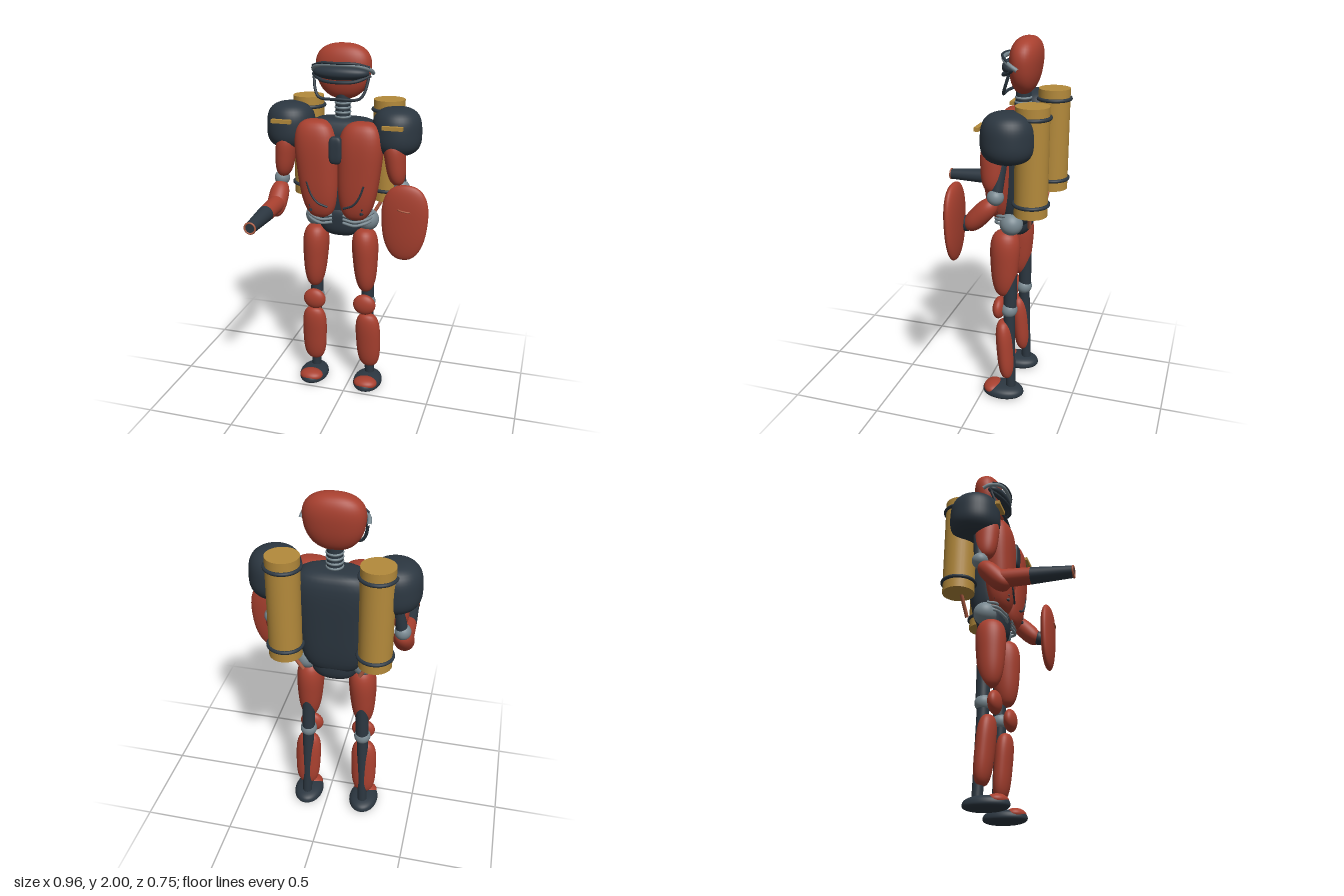
import * as THREE from 'three';
import { mergeVertices } from 'three/addons/utils/BufferGeometryUtils.js';

const mat = (name, color) => {
  const m = new THREE.MeshStandardMaterial({ color });
  m.name = name;
  return m;
};
const V = (x, y, z) => new THREE.Vector3(x, y, z);

export function createModel() {
  const red = mat('armourRed', 0xa8402f);
  const dark = mat('darkSlate', 0x2c3741);
  const grey = mat('jointGrey', 0x788890);
  const gold = mat('tankGold', 0xb48a3b);
  const copper = mat('copper', 0xad5c42);

  const model = new THREE.Group();
  model.name = 'armouredRobot';
  const body = new THREE.Group(); // symmetric about its own x = 0
  body.name = 'body';
  body.position.x = -0.05;
  model.add(body);

  function add(name, geo, material, parent = body) {
    const m = new THREE.Mesh(geo, material);
    m.name = name;
    parent.add(m);
    return m;
  }

  // Rounded form: n squares the profile, m squares the plan; taper and shifts run along y
  function blob(name, material, c, r, o = {}, parent = body) {
    const { n = 2, m = 2, taper = 0, dx = 0, dz = 0, floor = -2 } = o;
    let g = new THREE.SphereGeometry(1, 40, 28);
    g.deleteAttribute('uv');
    g.deleteAttribute('normal');
    g = mergeVertices(g, 1e-5);
    const p = g.attributes.position;
    for (let i = 0; i < p.count; i++) {
      const x = p.getX(i), y = p.getY(i), z = p.getZ(i), q = Math.hypot(x, z);
      const k = Math.pow(Math.pow(Math.abs(y), n) + Math.pow(q, n), -1 / n);
      const plan = q < 1e-5 ? 1 : q * Math.pow(Math.pow(Math.abs(x), m) + Math.pow(Math.abs(z), m), -1 / m);
      const t = y * k, s = k * plan * (1 + taper * t);
      p.setXYZ(i, x * s * r[0] + dx * t, Math.max(t, floor) * r[1], z * s * r[2] + dz * t);
    }
    g.computeVertexNormals();
    const mesh = add(name, g, material, parent);
    mesh.position.set(...c);
    return mesh;
  }

  // Straight tapered rod from a to b
  function rod(name, material, a, b, ra, rb = ra, parent = body) {
    const A = V(...a), B = V(...b), d = B.clone().sub(A);
    const mesh = add(name, new THREE.CylinderGeometry(rb, ra, d.length(), 32), material, parent);
    mesh.position.copy(A).addScaledVector(d, 0.5);
    mesh.quaternion.setFromUnitVectors(V(0, 1, 0), d.normalize());
    return mesh;
  }

  const tube = (name, material, pts, r, parent = body) =>
    add(name, new THREE.TubeGeometry(new THREE.CatmullRomCurve3(pts.map(p => V(...p))), 32, r, 10), material, parent);

  function ring(name, material, c, R, r, flat = true, parent = body) {
    const mesh = add(name, new THREE.TorusGeometry(R, r, 12, 48), material, parent);
    mesh.position.set(...c);
    if (flat) mesh.rotation.x = Math.PI / 2;
    return mesh;
  }

  // Left-right symmetric arc from half a path that ends at x = 0
  const arc = (pts) => [...pts, ...pts.slice(0, -1).reverse().map(([x, y, z]) => [-x, y, z])];

  // Head with visor and chin guard
  blob('head', red, [0, 1.855, -0.178], [0.15, 0.145, 0.078], { n: 2.4, m: 2.3, taper: 0.13, dz: -0.006 });
  blob('visorLens', dark, [0, 1.853, -0.128], [0.152, 0.04, 0.066], { n: 2.2 });
  tube('visorBrow', grey, arc([[0.163, 1.85, -0.175], [0.155, 1.872, -0.135], [0.1, 1.895, -0.088], [0, 1.9, -0.07]]), 0.011);
  tube('visorBrowTrim', dark, arc([[0.155, 1.885, -0.125], [0.09, 1.907, -0.078], [0, 1.909, -0.06]]), 0.007);
  tube('visorRim', dark, arc([[0.157, 1.84, -0.14], [0.09, 1.815, -0.085], [0, 1.81, -0.065]]), 0.009);
  tube('chinGuard', dark, arc([[0.15, 1.83, -0.13], [0.135, 1.76, -0.105], [0.11, 1.725, -0.09], [0, 1.72, -0.08]]), 0.008);

  // Neck
  rod('neck', dark, [0, 1.56, -0.165], [0, 1.74, -0.165], 0.04);
  for (let i = 0; i < 4; i++) ring('neckRing', grey, [0, 1.615 + i * 0.025, -0.165], 0.038, 0.007);

  // Torso core and pelvis
  blob('torsoCore', dark, [0, 1.31, -0.165], [0.195, 0.3, 0.105], { n: 4.5, m: 3, taper: 0.16, dz: -0.008 });
  blob('pelvis', dark, [0, 1.04, -0.145], [0.13, 0.095, 0.085], { n: 3, m: 2.4, taper: 0.08 });
  blob('chestBadge', dark, [0, 1.46, -0.025], [0.036, 0.074, 0.025], { n: 4, m: 4 });

  for (const s of [-1, 1]) {
    const side = s > 0 ? 'left' : 'right';

    // Chest plate with trim lines
    blob(side + 'ChestPlate', red, [s * 0.115, 1.335, -0.082], [0.117, 0.272, 0.083],
      { n: 3.2, m: 2.5, taper: 0.16, dx: s * 0.016, dz: -0.006 });
    tube(side + 'ChestTrim', dark, [[s * 0.16, 1.28, -0.008], [s * 0.135, 1.21, -0.006],
      [s * 0.1, 1.165, -0.007], [s * 0.045, 1.14, -0.016]], 0.006);
    for (let i = 0; i < 4; i++) {
      const y = 1.2 - i * 0.027;
      rod(side + 'SideRib', dark, [s * (0.187 - i * 0.003), y, -0.09], [s * (0.15 - i * 0.003), y - 0.004, -0.018], 0.008);
    }
    for (let i = 0; i < 3; i++) {
      const y = 1.095 - i * 0.021;
      tube(side + 'WaistHose', grey, [[s * 0.185, y, -0.13], [s * 0.165, y - 0.005, -0.08],
        [s * 0.1, y - 0.02, -0.052], [s * 0.03, y - 0.012, -0.06]], 0.008);
    }

    // Shoulder with gold bar
    blob(side + 'Shoulder', dark, [s * 0.298, 1.552, -0.17], [0.134, 0.127, 0.136], { n: 3, taper: -0.03 });
    const bar = add(side + 'ShoulderBar', new THREE.BoxGeometry(0.11, 0.02, 0.024), gold);
    bar.position.set(s * 0.305, 1.595, -0.029);

    // Arm
    rod(side + 'ArmCore', dark, [s * 0.3, 1.5, -0.15], [s * 0.34, 1.26, -0.125], 0.03);
    blob(side + 'UpperArm', red, [s * 0.31, 1.4, -0.1], [0.056, 0.125, 0.064], { n: 3, taper: 0.15, dx: -s * 0.014 });
    blob(side + 'Elbow', grey, [s * 0.343, 1.255, -0.122], [0.043, 0.043, 0.043]);
    blob(side + 'Forearm', red, [s * 0.342, 1.155, -0.045], [0.055, 0.108, 0.052], { n: 2.6 }).rotation.x = -0.75;

    // Leg
    blob(side + 'Hip', grey, [s * 0.15, 1.045, -0.15], [0.062, 0.062, 0.062]);
    rod(side + 'ThighCore', dark, [s * 0.148, 0.85, -0.15], [s * 0.155, 0.55, -0.15], 0.036);
    blob(side + 'Thigh', red, [s * 0.147, 0.812, -0.115], [0.07, 0.19, 0.077],
      { n: 3, taper: 0.2, dx: -s * 0.006, dz: -0.003 });
    blob(side + 'KneeJoint', grey, [s * 0.155, 0.54, -0.145], [0.046, 0.046, 0.046]);
    blob(side + 'KneeCap', red, [s * 0.15, 0.542, -0.088], [0.066, 0.062, 0.035]);
    rod(side + 'ShinCore', dark, [s * 0.156, 0.54, -0.145], [s * 0.168, 0.05, -0.163], 0.032, 0.027);
    blob(side + 'Shin', red, [s * 0.165, 0.295, -0.13], [0.072, 0.177, 0.048],
      { n: 3.2, taper: 0.06, dx: -s * 0.004, dz: 0.014 });

    // Foot
    blob(side + 'Foot', dark, [s * 0.168, 0.032, -0.118], [0.083, 0.036, 0.117], { n: 2.6, taper: -0.08, floor: -0.88 });
    blob(side + 'ToeCap', red, [s * 0.168, 0.042, -0.062], [0.07, 0.034, 0.055]);

    // Back tank with bands and feed pipe
    rod(side + 'Tank', gold, [s * 0.231, 1.14, -0.275], [s * 0.231, 1.7, -0.275], 0.086);
    for (const y of [1.2, 1.645]) ring(side + 'TankBand', dark, [s * 0.231, y, -0.275], 0.088, 0.01);
    rod(side + 'FeedPipe', copper, [s * 0.215, 1.15, -0.265], [s * 0.15, 1.035, -0.25], 0.01);
  }

  // Arm cannon on the right forearm
  const cannon = new THREE.Group();
  cannon.name = 'armCannon';
  model.add(cannon);
  rod('cannonSleeve', red, [-0.39, 1.135, -0.02], [-0.39, 1.13, 0.15], 0.049, 0.044, cannon);
  rod('cannonBarrel', dark, [-0.39, 1.13, 0.15], [-0.39, 1.123, 0.368], 0.044, 0.031, cannon);
  ring('muzzleRing', copper, [-0.39, 1.123, 0.367], 0.029, 0.005, false, cannon);

  // Shield held by the left hand
  const shield = new THREE.Group();
  shield.name = 'shield';
  model.add(shield);
  blob('leftHand', dark, [0.292, 1.1, 0.03], [0.036, 0.042, 0.036], {}, shield);
  blob('shieldPlate', red, [0.352, 1.125, 0.072], [0.122, 0.206, 0.037], { n: 2.4, taper: 0.12, dx: 0.004 }, shield);
  tube('shieldHandle', copper, [[0.315, 1.208, 0.098], [0.335, 1.204, 0.112], [0.375, 1.198, 0.112], [0.395, 1.194, 0.098]], 0.004, shield);

  return model;
}
